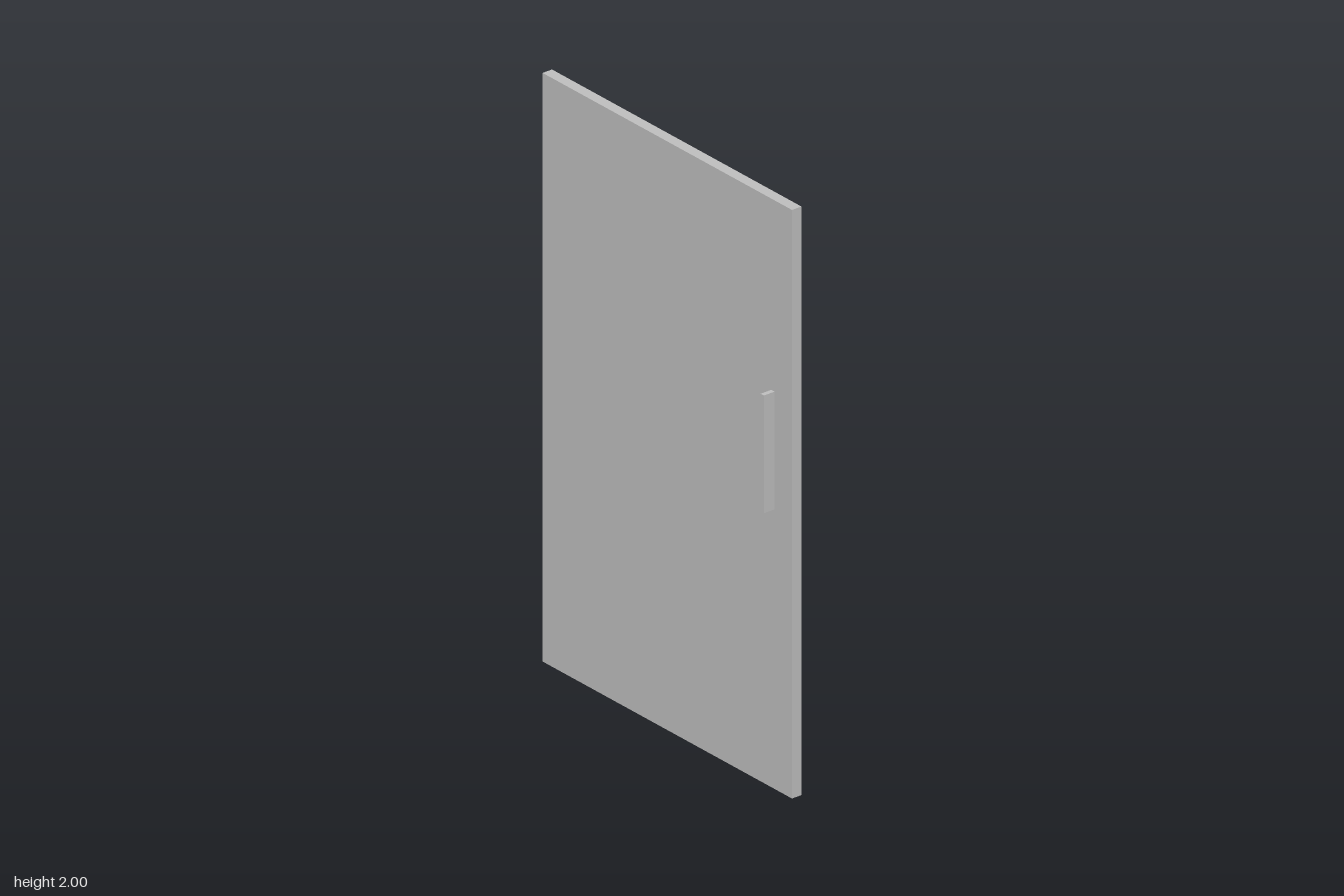
import * as THREE from 'three';

export function createModel() {
  const group = new THREE.Group();
  const grey = new THREE.MeshStandardMaterial({ color: 0xc0c0c0 });
  grey.name = 'light grey';

  const addBox = (name, [w, h, d], [x, y, z]) => {
    const mesh = new THREE.Mesh(new THREE.BoxGeometry(w, h, d), grey);
    mesh.name = name;
    mesh.position.set(x, y, z);
    group.add(mesh);
  };

  // Door leaf
  addBox('doorPanel', [1.2, 2, 0.037], [0, 1, 0]);

  // Pull bar passing through the leaf, reachable from both sides
  addBox('handle', [0.016, 0.4, 0.12], [0.508, 1.15, 0]);

  return group;
}
